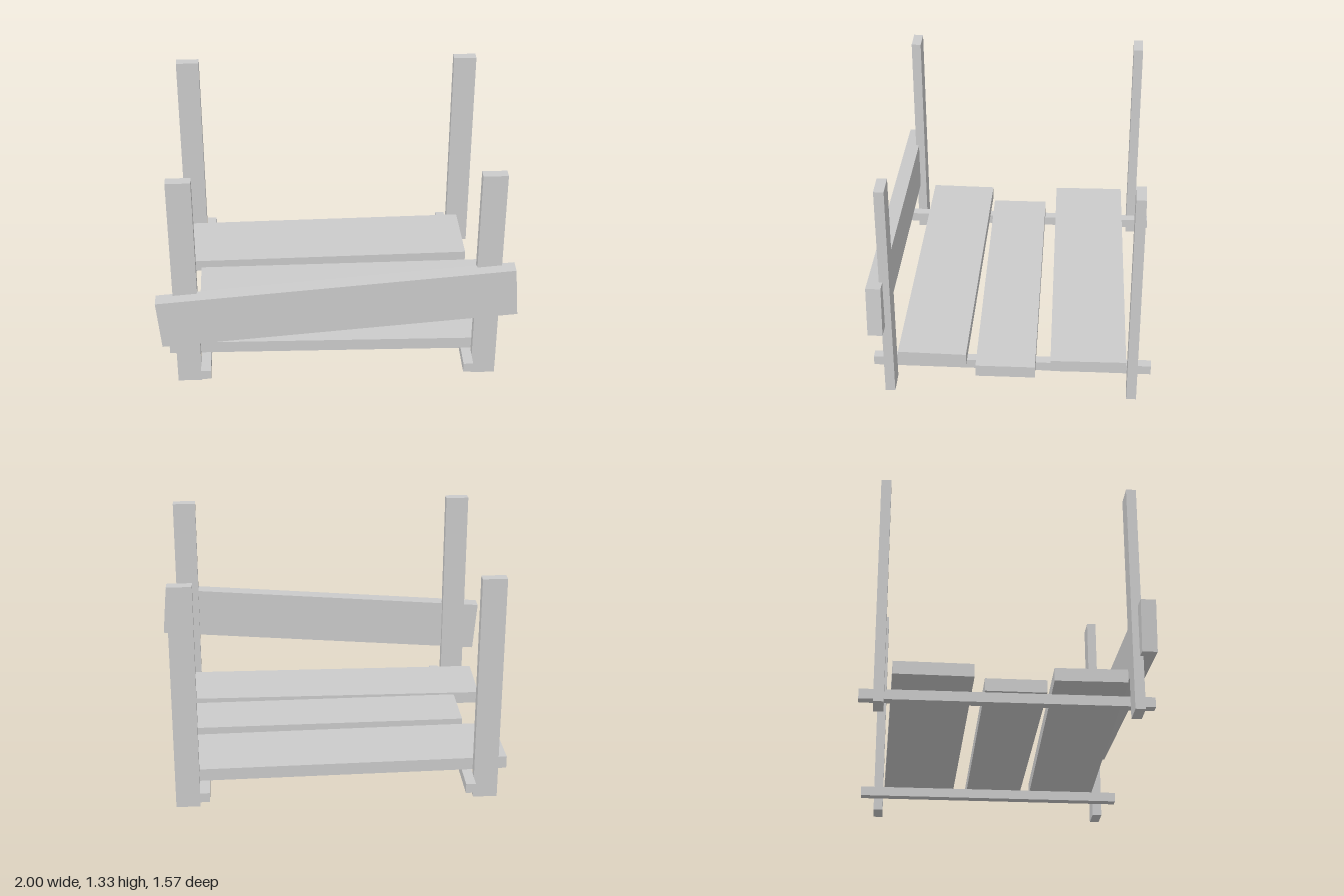
import * as THREE from 'three';

export function createModel() {
  const group = new THREE.Group();
  const material = new THREE.MeshStandardMaterial({ color: 0xcccccc, flatShading: true });

  function board(name, size, position) {
    const mesh = new THREE.Mesh(new THREE.BoxGeometry(...size), material);
    mesh.name = name;
    mesh.position.set(...position);
    group.add(mesh);
    return mesh;
  }

  for (const [side, sx] of [['left', 1], ['right', -1]]) {
    // Upright corner posts
    for (const [end, sz] of [['Front', 1], ['Back', -1]]) {
      board(`${side}${end}Post`, [0.135, 1.325, 0.055], [sx * 0.838, 0.6625, sz * 0.678]);
    }
    // Runner joining the posts under the floor
    board(`${side}Runner`, [0.055, 0.056, 1.57], [sx * 0.742, 0.1, 0]);
  }

  // Uneven floor planks: length, width, x, z, yaw
  const planks = [
    ['backPlank', 1.805, 0.423, -0.065, -0.416, 0.018],
    ['middlePlank', 1.693, 0.331, 0.058, 0.035, 0.0076],
    ['frontPlank', 1.76, 0.385, -0.068, 0.434, -0.0157],
  ];
  for (const [name, length, width, x, z, yaw] of planks) {
    board(name, [length, 0.072, width], [x, 0.164, z]).rotation.y = yaw;
  }

  // Crooked board across the front posts
  board('frontRail', [1.982, 0.296, 0.082], [0, 0.526, 0.728]).rotation.z = 0.0825;

  return group;
}
